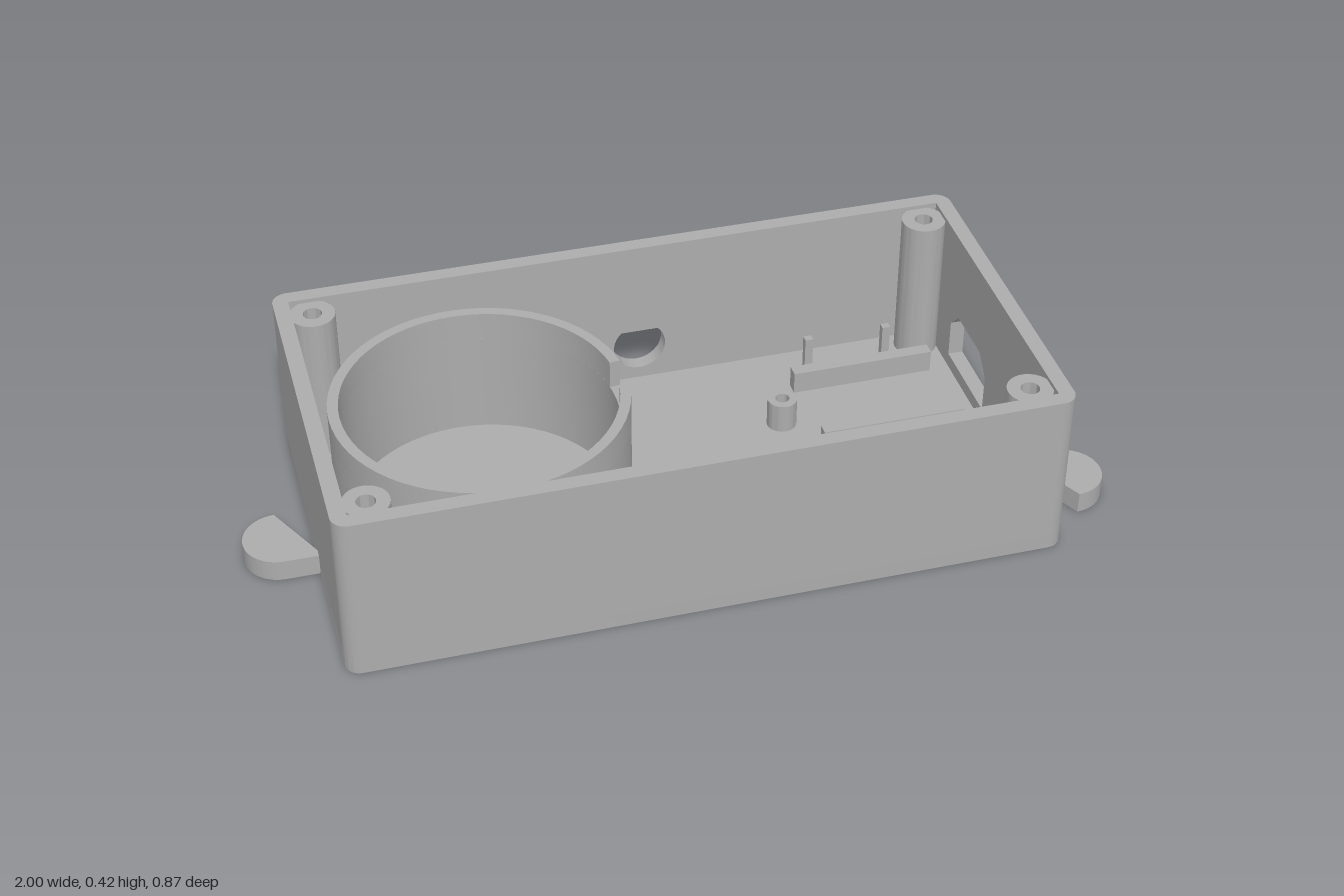
import * as THREE from 'three';
import { toCreasedNormals } from 'three/addons/utils/BufferGeometryUtils.js';

const HX = 0.8375, HZ = 0.437, T = 0.037, H = 0.42, FLOOR = 0.035;

export function createModel() {
  const group = new THREE.Group();
  const grey = new THREE.MeshStandardMaterial({ color: 0xacacac });
  grey.name = 'grey plastic';

  const add = (name, geometry, x = 0, y = 0, z = 0) => {
    const mesh = new THREE.Mesh(geometry, grey);
    mesh.name = name;
    mesh.position.set(x, y, z);
    group.add(mesh);
    return mesh;
  };
  const extrude = (shape, depth) => toCreasedNormals(
    new THREE.ExtrudeGeometry(shape, { depth, bevelEnabled: false, curveSegments: 32 }), 0.6);
  // Plan shape (shape y is -z) raised upwards
  const raise = (shape, height) => extrude(shape, height).rotateX(-Math.PI / 2);
  const circle = (r, x = 0, y = 0) => new THREE.Path().absarc(x, y, r, 0, Math.PI * 2, true);
  const ring = (outer, inner) => {
    const s = new THREE.Shape().absarc(0, 0, outer, 0, Math.PI * 2, false);
    s.holes.push(circle(inner));
    return s;
  };
  const rect = (x0, y0, x1, y1) => new THREE.Shape(
    [[x0, y0], [x1, y0], [x1, y1], [x0, y1]].map(p => new THREE.Vector2(...p)));

  // Floor with rounded corners
  const ix = HX - T, iz = HZ - T;
  const floor = new THREE.Shape();
  floor.absarc(ix, iz, T, 0, Math.PI / 2, false);
  floor.absarc(-ix, iz, T, Math.PI / 2, Math.PI, false);
  floor.absarc(-ix, -iz, T, Math.PI, Math.PI * 1.5, false);
  floor.absarc(ix, -iz, T, Math.PI * 1.5, Math.PI * 2, false);
  floor.closePath();
  add('floor', raise(floor, FLOOR));

  // Plain walls
  const wallH = H - FLOOR, wallY = FLOOR + wallH / 2;
  add('frontWall', new THREE.BoxGeometry(ix * 2, wallH, T), 0, wallY, HZ - T / 2);
  add('leftEndWall', new THREE.BoxGeometry(T, wallH, iz * 2), -HX + T / 2, wallY, 0);

  // Back wall with a teardrop cable hole
  const back = rect(-ix, FLOOR, ix, H);
  const r = 0.065, hx = 0.045, hy = 0.13;
  const drop = new THREE.Path();
  drop.moveTo(hx, hy + r * Math.SQRT2);
  drop.absarc(hx, hy, r, Math.PI * 0.75, Math.PI * 2.25, false);
  drop.closePath();
  back.holes.push(drop);
  add('backWall', extrude(back, T), 0, 0, -HZ);

  // End wall with a chamfered socket opening (shape x is -z)
  const end = rect(-iz, FLOOR, iz, H);
  end.holes.push(new THREE.Path([[0.01, 0.07], [0.01, 0.165], [0.055, 0.21],
    [0.2, 0.21], [0.245, 0.165], [0.245, 0.07]].map(p => new THREE.Vector2(...p))));
  add('socketWall', extrude(end, T).rotateY(Math.PI / 2), ix, 0, 0);

  // Rounded wall corners and screw posts
  [[1, 1, 0], [1, -1, 1], [-1, -1, 2], [-1, 1, 3]].forEach(([sx, sz, k]) => {
    add('wallCorner', new THREE.CylinderGeometry(T, T, wallH, 10, 1, false,
      k * Math.PI / 2, Math.PI / 2), sx * ix, wallY, sz * iz);
    add('screwPost', raise(ring(0.053, 0.022), 0.41 - FLOOR), sx * 0.752, FLOOR, sz * 0.353);
  });

  // Round holder with a notch in its rim
  const R = 0.343, ri = 0.318, notchY = 0.295, topY = 0.365, a = 0.142;
  add('roundHolder', raise(ring(R, ri), notchY - FLOOR), -0.433, FLOOR, 0);
  const rim = new THREE.Shape();
  rim.absarc(0, 0, R, a, Math.PI * 2 - a, false);
  rim.absarc(0, 0, ri, Math.PI * 2 - a, a, true);
  rim.closePath();
  add('roundHolderRim', raise(rim, topY - notchY), -0.433, notchY, 0);

  // Circuit board standoffs
  for (const [x, z] of [[0.33, -0.13], [-0.07, 0.208], [0.305, 0.208], [0.72, 0.208]])
    add('standoff', raise(ring(0.036, 0.017), 0.11 - FLOOR), x, FLOOR, z);

  // Support ribs: x0, x1, z0, z1
  const ribH = 0.092 - FLOOR;
  for (const [x0, x1, z0, z1] of [
    [-0.018, 0.012, 0.085, 0.325], [0.222, 0.252, 0.085, 0.325],
    [0.395, 0.75, -0.268, -0.236], [0.395, 0.75, -0.024, 0.004],
    [0.37, 0.652, 0.08, 0.11], [0.37, 0.652, 0.24, 0.27]])
    add('rib', new THREE.BoxGeometry(x1 - x0, ribH, z1 - z0),
      (x0 + x1) / 2, FLOOR + ribH / 2, (z0 + z1) / 2);

  // Thin locating pins
  for (const [x, z] of [[0.45, -0.303], [0.65, -0.303], [0.373, 0.375], [0.65, 0.375]])
    add('pin', new THREE.BoxGeometry(0.02, 0.145 - FLOOR, 0.018), x, (0.145 + FLOOR) / 2, z);

  // Mounting ears on both ends
  const ear = new THREE.Shape();
  ear.moveTo(-0.01, -0.085);
  ear.absarc(0.0775, 0, 0.085, -Math.PI / 2, Math.PI / 2, false);
  ear.lineTo(-0.01, 0.085);
  ear.closePath();
  ear.holes.push(circle(0.038, 0.0775, 0));
  const earGeometry = raise(ear, 0.053);
  add('mountingEar', earGeometry, HX, 0, 0.25);
  add('mountingEar', earGeometry, -HX, 0, 0).rotation.y = Math.PI;

  return group;
}
